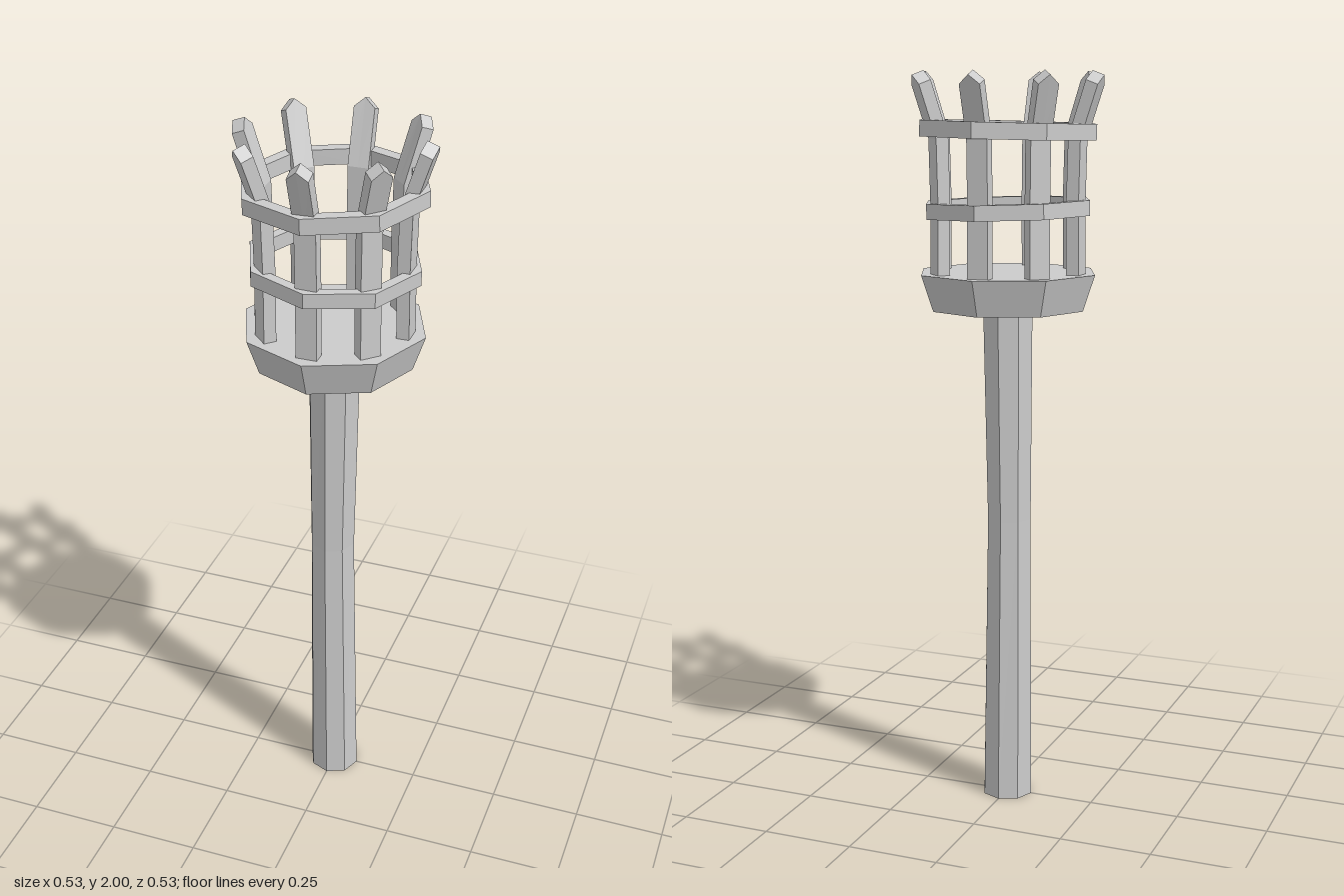
import * as THREE from 'three';

const material = new THREE.MeshStandardMaterial({ color: 0xcccccc, flatShading: true });

function addMesh(parent, name, geometry) {
  const mesh = new THREE.Mesh(geometry, material);
  mesh.name = name;
  parent.add(mesh);
  return mesh;
}

// Eight-sided pole, slightly pinched and bowed at mid height
function poleGeometry() {
  const height = 1.38;
  const geo = new THREE.CylinderGeometry(0.071, 0.071, height, 8, 2);
  geo.translate(0, height / 2, 0);
  const p = geo.attributes.position;
  for (let i = 0; i < p.count; i++) {
    if (Math.abs(p.getY(i) - height / 2) < 0.01) {
      p.setXYZ(i, p.getX(i) * 0.88 - 0.005, 0.8, p.getZ(i) * 0.92);
    }
  }
  geo.computeVertexNormals();
  return geo;
}

// Rectangular-section hoop with eight sides
function hoopGeometry(inner, outer, height) {
  const h = height / 2;
  const profile = [[inner, -h], [outer, -h], [outer, h], [inner, h], [inner, -h]];
  return new THREE.LatheGeometry(profile.map(([r, y]) => new THREE.Vector2(r, y)), 8);
}

// Upright slat that flares outward at the top and ends in a point.
// Each row: radius, height, outward normal (radial, vertical)
function slatGeometry() {
  const rows = [
    [0.193, 1.45, 1, 0],
    [0.191, 1.66, 1, 0],
    [0.195, 1.83, 0.98, -0.17],
    [0.241, 1.97, 0.94, -0.35],
  ];
  const halfThickness = 0.017, tip = 0.025;
  const geo = new THREE.BoxGeometry(0.056, 3, 2, 2, 3, 1);
  const p = geo.attributes.position;
  for (let i = 0; i < p.count; i++) {
    const row = Math.round(p.getY(i) + 1.5);
    const [r, y, nr, ny] = rows[row];
    const t = p.getZ(i) * halfThickness;
    const point = row === 3 && Math.abs(p.getX(i)) < 0.001 ? tip : 0;
    p.setY(i, y + ny * t + nr * point);
    p.setZ(i, r + nr * t - ny * point);
  }
  geo.computeVertexNormals();
  return geo;
}

export function createModel() {
  const model = new THREE.Group();
  model.name = 'torch';

  addMesh(model, 'pole', poleGeometry());

  // Flared base of the basket
  addMesh(model, 'basketBase', new THREE.CylinderGeometry(0.246, 0.213, 0.097, 8))
    .position.y = 1.427;

  // Ring of slats
  const slats = new THREE.Group();
  slats.name = 'slats';
  const slat = slatGeometry();
  for (let i = 0; i < 8; i++) {
    addMesh(slats, 'slat', slat).rotation.y = (i * Math.PI) / 4;
  }
  model.add(slats);

  // Two hoops, each a little crooked
  const lower = addMesh(model, 'lowerHoop', hoopGeometry(0.2, 0.23, 0.04));
  lower.position.y = 1.644;
  lower.rotation.z = -0.025;
  const upper = addMesh(model, 'upperHoop', hoopGeometry(0.212, 0.247, 0.042));
  upper.position.y = 1.848;
  upper.rotation.set(0.015, 0, 0.02);

  return model;
}
